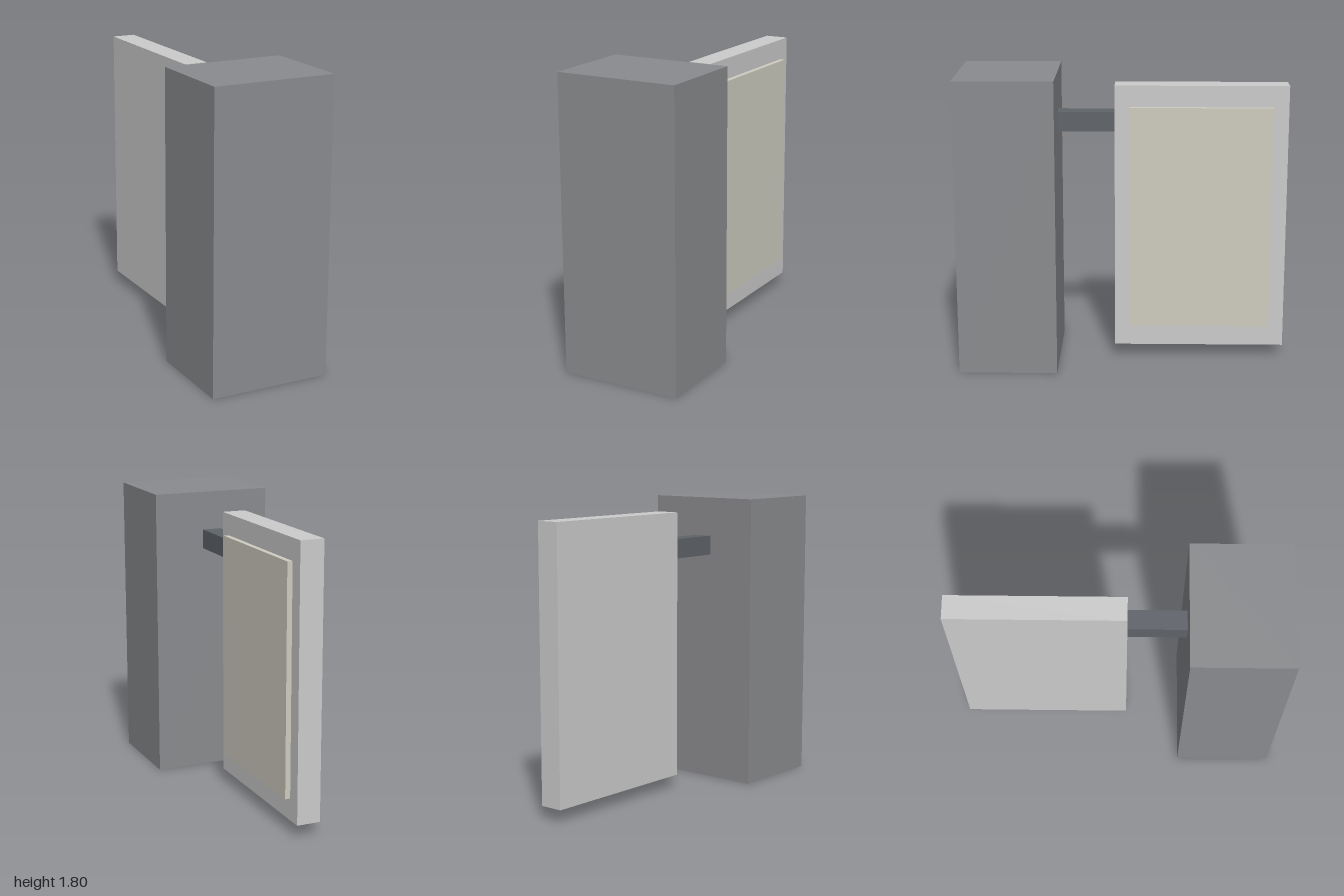
import * as THREE from 'three';

export function createModel() {
  const group = new THREE.Group();

  // Box given by its extents along each axis
  const block = (name, color, [x0, x1], [y0, y1], [z0, z1]) => {
    const mesh = new THREE.Mesh(
      new THREE.BoxGeometry(x1 - x0, y1 - y0, z1 - z0),
      new THREE.MeshStandardMaterial({ color, flatShading: true })
    );
    mesh.position.set((x0 + x1) / 2, (y0 + y1) / 2, (z0 + z1) / 2);
    mesh.name = name;
    group.add(mesh);
  };

  // Wall pillar, bracket arm, hanging board and its raised face on the left side
  block('pillar', 0x8a8b8e, [-0.375, 0.375], [0, 1.805], [0.4, 1]);
  block('bracketArm', 0x5f646a, [-0.06, 0.06], [1.445, 1.565], [0.05, 0.4]);
  block('signBoard', 0xcfcdcc, [-0.073, 0.073], [0.08, 1.73], [-1, 0.053]);
  block('signFace', 0xcfcdc0, [0.07, 0.105], [0.213, 1.6], [-0.907, -0.038]);

  return group;
}
